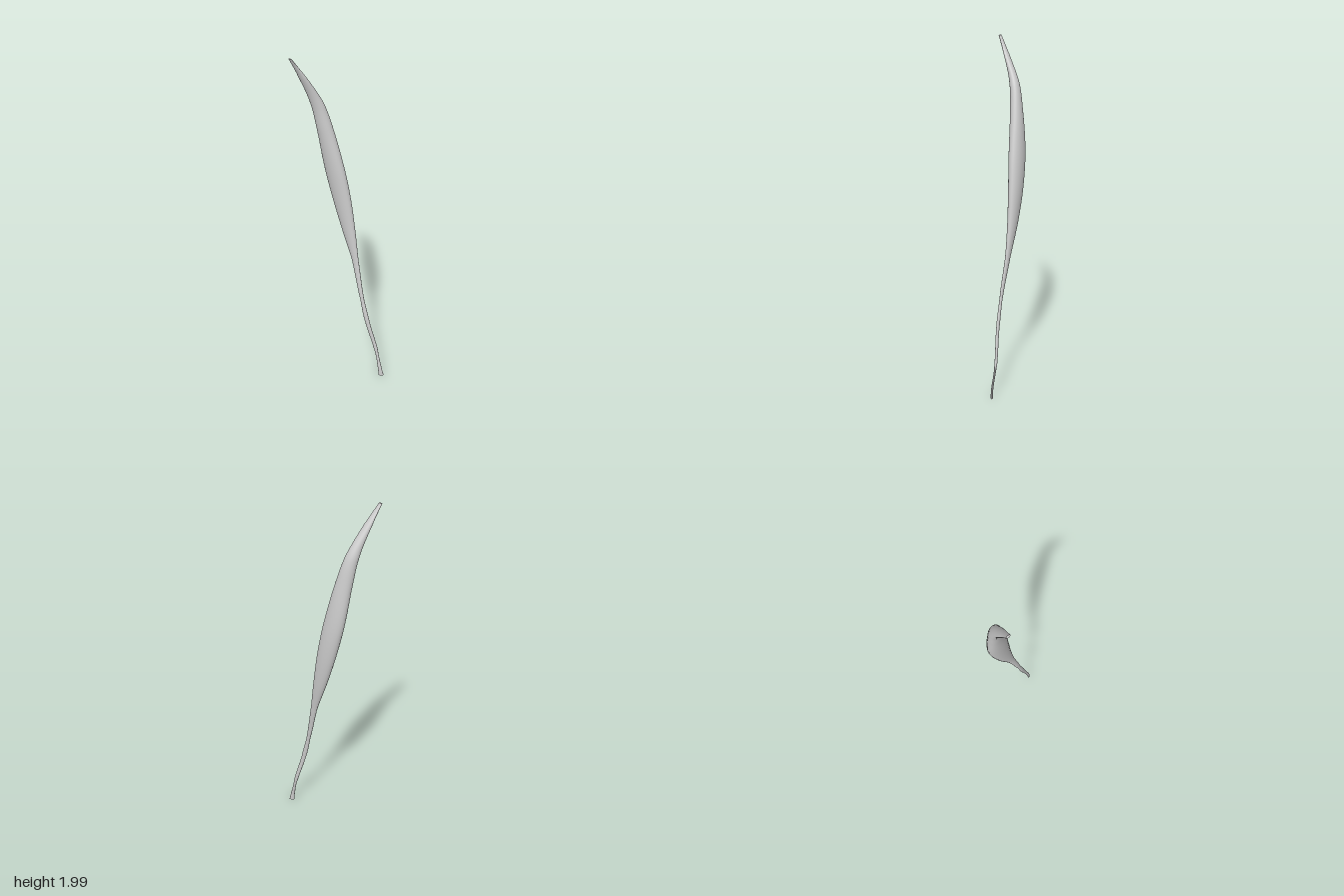
import * as THREE from 'three';

// Stations from bottom to top: height, x range, z range, skew of the oval
const STATIONS = [
  [0.01, 0.150, 0.176, 0.184, 0.207, 0.7],
  [0.06, 0.149, 0.168, 0.177, 0.197, 0.6],
  [0.20, 0.141, 0.160, 0.140, 0.162, 0.4],
  [0.40, 0.106, 0.128, 0.089, 0.115, 0.4],
  [0.60, 0.090, 0.111, 0.040, 0.068, 0.3],
  [0.80, 0.082, 0.110, -0.018, 0.025, 0.3],
  [1.00, 0.055, 0.111, -0.093, -0.005, 0.3],
  [1.20, 0.025, 0.102, -0.152, -0.031, 0.28],
  [1.40, -0.005, 0.078, -0.189, -0.064, 0.25],
  [1.60, -0.035, 0.041, -0.199, -0.108, 0.25],
  [1.75, -0.066, -0.002, -0.205, -0.140, 0.25],
  [1.90, -0.128, -0.095, -0.208, -0.166, 0.3],
  [2.00, -0.178, -0.168, -0.209, -0.186, 0.2],
];

// Closed loft through skewed oval cross-sections
function loft(stations, rings, sides) {
  const centres = new THREE.CatmullRomCurve3(stations.map(([y, x0, x1, z0, z1]) =>
    new THREE.Vector3((x0 + x1) / 2, y, (z0 + z1) / 2)));
  const sizes = new THREE.CatmullRomCurve3(stations.map(([, x0, x1, z0, z1, skew]) =>
    new THREE.Vector3((x1 - x0) / 2, skew, (z1 - z0) / 2)));
  const pos = [], index = [];
  const addRing = (k) => {
    const c = centres.getPoint(k), s = sizes.getPoint(k);
    for (let j = 0; j < sides; j++) {
      const t = (j / sides) * Math.PI * 2;
      pos.push(c.x + s.x * Math.cos(t), c.y, c.z + s.z * Math.sin(t + Math.asin(s.y)));
    }
  };
  for (let i = 0; i <= rings; i++) addRing(i / rings);
  for (let i = 0; i < rings; i++) {
    for (let j = 0; j < sides; j++) {
      const a = i * sides + j, b = i * sides + (j + 1) % sides;
      index.push(a, a + sides, b, b, a + sides, b + sides);
    }
  }
  // End caps with their own vertices, so the rims stay sharp
  for (const k of [0, 1]) {
    const start = pos.length / 3;
    addRing(k);
    const c = centres.getPoint(k);
    pos.push(c.x, c.y, c.z);
    for (let j = 0; j < sides; j++) {
      const a = start + j, b = start + (j + 1) % sides, m = start + sides;
      if (k === 0) index.push(m, a, b);
      else index.push(m, b, a);
    }
  }
  const geo = new THREE.BufferGeometry();
  geo.setAttribute('position', new THREE.Float32BufferAttribute(pos, 3));
  geo.setIndex(index);
  geo.computeVertexNormals();
  return geo;
}

export function createModel() {
  const group = new THREE.Group();
  group.name = 'muscle';
  // Belly and tapering tendons form one continuous strap
  const strap = new THREE.Mesh(loft(STATIONS, 96, 28),
    new THREE.MeshStandardMaterial({ color: 0xcccccc }));
  strap.name = 'muscleStrap';
  group.add(strap);
  return group;
}
